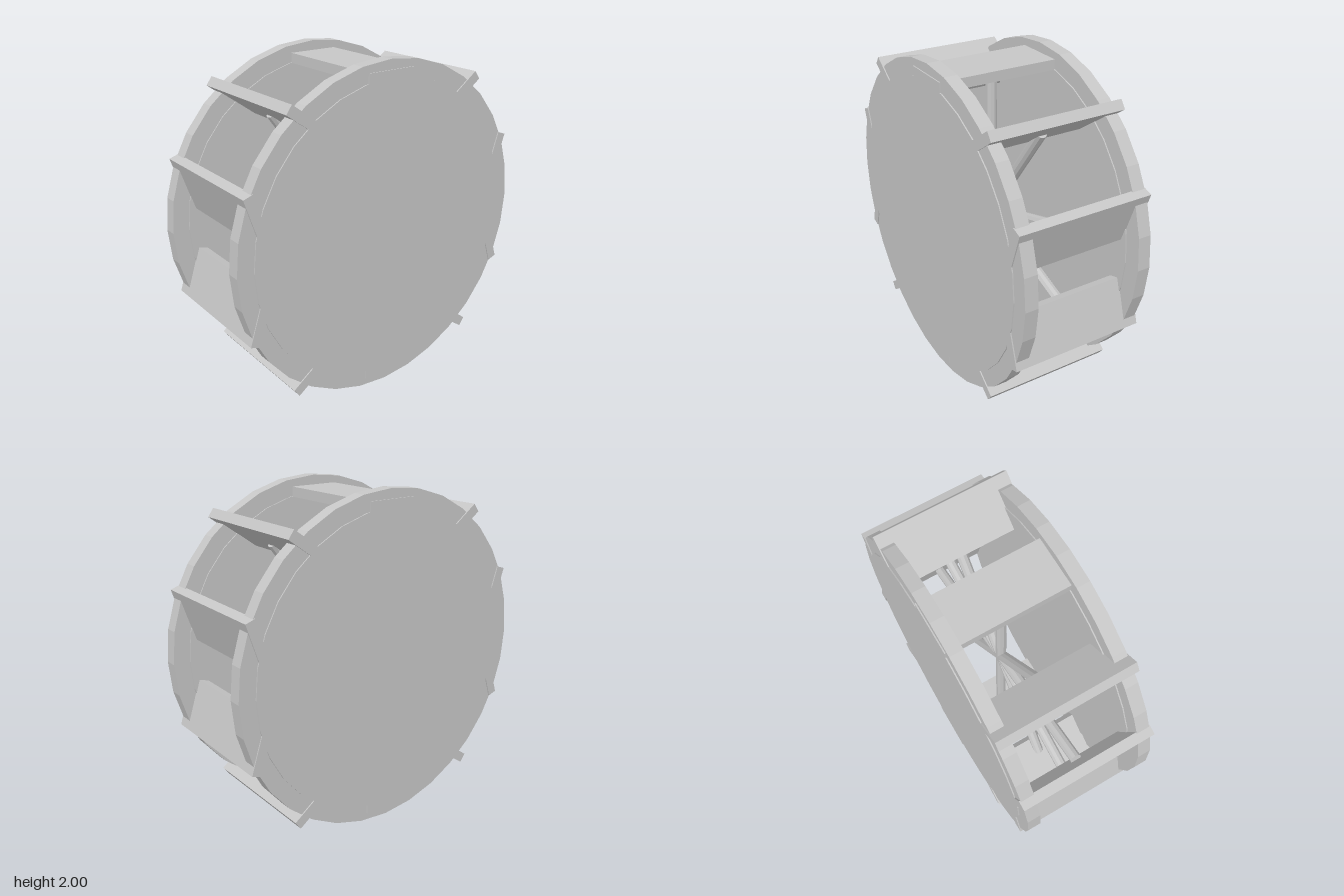
import * as THREE from 'three';

const SIDES = 32;
const COUNT = 10;
const STEP = (Math.PI * 2) / COUNT;

export function createModel() {
  const wheel = new THREE.Group();
  wheel.name = 'paddleWheel';
  wheel.position.y = 1;

  const grey = new THREE.MeshStandardMaterial({ color: 0xc6c6c6, flatShading: true });
  grey.name = 'plain grey';

  const add = (name, geometry) => {
    const mesh = new THREE.Mesh(geometry, grey);
    mesh.name = name;
    wheel.add(mesh);
    return mesh;
  };

  // Side walls: a wide rim with a slightly thicker plate set into it
  const rim = new THREE.CylinderGeometry(1, 1, 0.08, SIDES).rotateZ(Math.PI / 2);
  const plate = new THREE.CylinderGeometry(0.9, 0.9, 0.094, SIDES).rotateZ(Math.PI / 2);
  for (const [label, side] of [['left', 1], ['right', -1]]) {
    add(label + 'Rim', rim).position.x = side * 0.362;
    add(label + 'SidePlate', plate).position.x = side * 0.362;
  }

  // Boards tilt against their position around the wheel; a spoke reaches each one
  const board = new THREE.BoxGeometry(0.818, 0.06, 0.31);
  const spoke = new THREE.CylinderGeometry(0.033, 0.033, 0.865, 10).translate(0, 0.4325, 0);
  for (let i = 0; i < COUNT; i++) {
    const a = i * STEP; // measured from the top towards the front
    const paddle = add('paddle' + (i + 1), board);
    paddle.position.set(0, 0.912 * Math.cos(a), 0.912 * Math.sin(a));
    paddle.rotation.x = -a;
    add('spoke' + (i + 1), spoke).rotation.x = a;
  }

  const model = new THREE.Group();
  model.name = 'model';
  model.add(wheel);
  return model;
}
